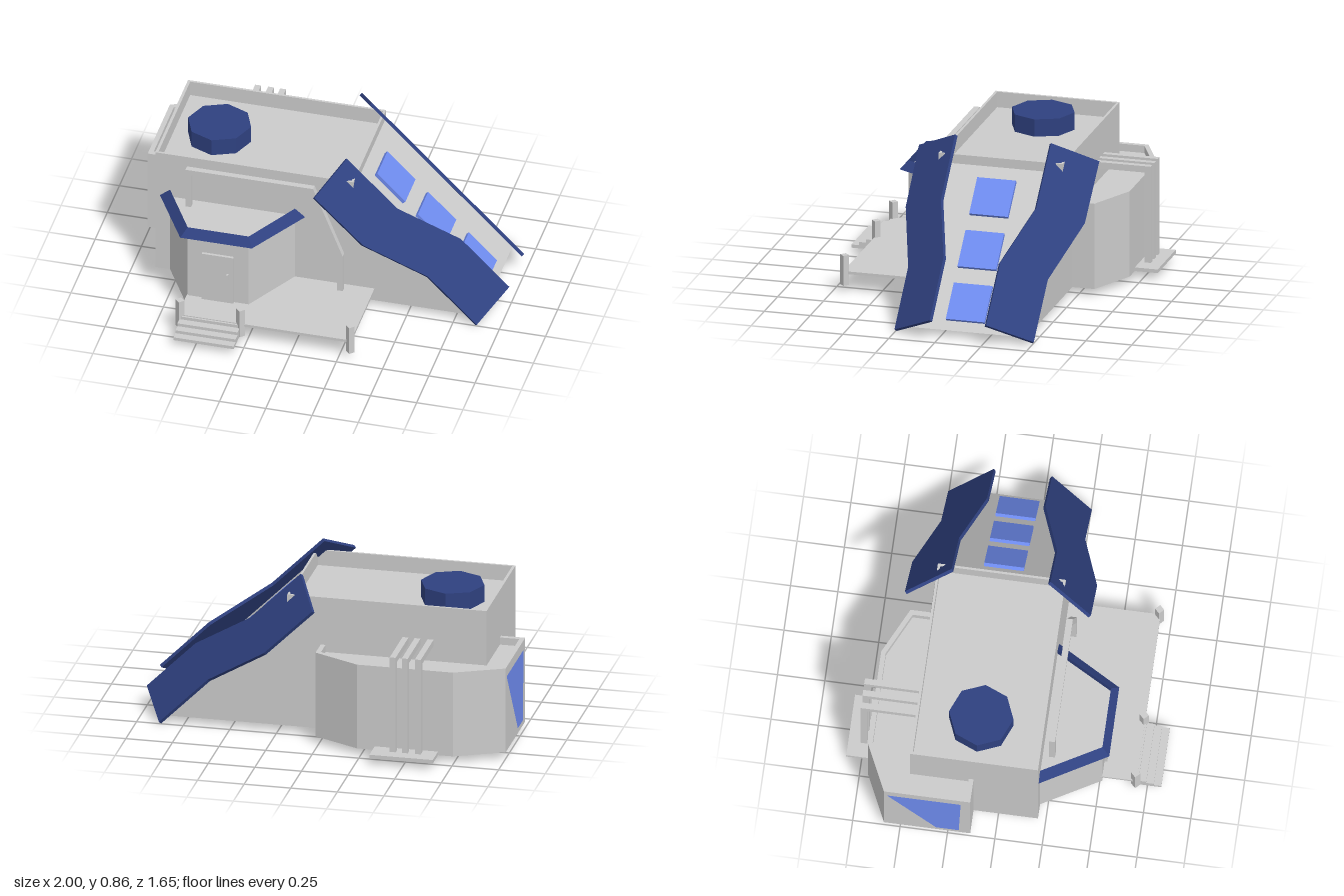
import * as THREE from 'three';

const mat = (color) => new THREE.MeshStandardMaterial({ color, flatShading: true, side: THREE.DoubleSide });
const grey = mat(0xcccccc), navy = mat(0x2f4180), glass = mat(0x6f8cf0);
const MID = -0.125; // z of the main block's centre line

export function createModel() {
  const model = new THREE.Group();

  function add(name, geometry, material = grey) {
    const mesh = new THREE.Mesh(geometry, material);
    mesh.name = name;
    model.add(mesh);
    return mesh;
  }
  // Box given by its limits
  function box(name, x0, x1, y0, y1, z0, z1, material) {
    const g = new THREE.BoxGeometry(x1 - x0, y1 - y0, z1 - z0);
    g.translate((x0 + x1) / 2, (y0 + y1) / 2, (z0 + z1) / 2);
    return add(name, g, material);
  }
  const toShape = (pts) => new THREE.Shape(pts.map(([x, y]) => new THREE.Vector2(x, y)));
  // Side profile (x, y) extruded along z
  function profile(name, pts, z0, z1, material) {
    const g = new THREE.ExtrudeGeometry(toShape(pts), { depth: z1 - z0, bevelEnabled: false });
    return add(name, g.translate(0, 0, z0), material);
  }
  // Floor plan (x, z) extruded upwards, with an optional hole
  function plan(name, pts, y0, y1, hole, material) {
    const flip = (p) => p.map(([x, z]) => [x, -z]);
    const shape = toShape(flip(pts));
    if (hole) shape.holes.push(toShape(flip(hole)));
    const g = new THREE.ExtrudeGeometry(shape, { depth: y1 - y0, bevelEnabled: false });
    return add(name, g.rotateX(-Math.PI / 2).translate(0, y0, 0), material);
  }
  const rect = (x0, x1, z0, z1) => [[x0, z0], [x1, z0], [x1, z1], [x0, z1]];

  // Main block with its sloping end and parapet
  profile('mainBlock', [[-0.87, 0.04], [0.89, 0.04], [0.2, 0.725], [0.19, 0.725], [0.19, 0.69], [-0.87, 0.69]], -0.465, 0.21);
  plan('parapet', rect(-0.87, 0.2, -0.465, 0.21), 0.69, 0.775, rect(-0.855, 0.188, -0.452, 0.197));

  // Octagonal roof hatch
  const hatch = new THREE.CylinderGeometry(0.17, 0.17, 0.095, 8);
  add('roofHatch', hatch.translate(-0.61, 0.7375, MID), navy);

  // Skylights on the slope
  for (let i = 0; i < 3; i++) {
    const pane = add('skylight', new THREE.BoxGeometry(0.215, 0.03, 0.21), glass);
    pane.position.set(0.335 + 0.22 * i, 0.598 - 0.22 * i, MID);
    pane.rotation.z = -Math.PI / 4;
  }

  // Tilted stepped fins along both edges of the slope: x, y, distance from centre line
  const finPoints = [
    [0.03, 0.75, 0.49], [0.145, 0.865, 0.26], [0.42, 0.595, 0.26], [0.735, 0.385, 0.155],
    [0.998, 0.125, 0.155], [0.88, 0.015, 0.38], [0.617, 0.275, 0.38], [0.295, 0.495, 0.49],
  ];
  const thick = 0.018;
  for (const s of [1, -1]) {
    const n = new THREE.Vector3(1, 1, s).normalize();
    const u = new THREE.Vector3(1, -1, 0).normalize();
    const v = n.clone().cross(u);
    const flat = finPoints.map(([x, y, z]) => {
      const p = new THREE.Vector3(x, y, s * z);
      return [p.dot(u), p.dot(v)];
    });
    const g = new THREE.ExtrudeGeometry(toShape(flat), { depth: thick, bevelEnabled: false });
    g.translate(0, 0, 1.273 / Math.sqrt(3) - thick);
    g.applyMatrix4(new THREE.Matrix4().makeBasis(u, v, n)).translate(0, 0, MID);
    add(s > 0 ? 'frontFin' : 'backFin', g, navy);
  }

  // Entrance bay with sloped eaves
  const bay = [[-0.79, 0.21], [-0.615, 0.515], [-0.285, 0.515], [-0.115, 0.21]];
  const eaves = [[-0.845, 0.21], [-0.645, 0.555], [-0.258, 0.555], [-0.06, 0.21]];
  plan('entranceBay', [...bay, [-0.115, 0.15], [-0.79, 0.15]], 0.04, 0.506);
  const pos = [], index = [];
  bay.forEach(([x, z], i) => {
    const [ox, oz] = eaves[i];
    pos.push(ox, 0.505, oz, x, 0.55, z, x, 0.505, z);
    if (i === 3) return;
    for (let k = 0; k < 3; k++) {
      const a = i * 3 + k, b = i * 3 + (k + 1) % 3;
      index.push(a, a + 3, b, b, a + 3, b + 3);
    }
  });
  const trim = new THREE.BufferGeometry();
  trim.setAttribute('position', new THREE.Float32BufferAttribute(pos, 3));
  trim.setIndex(index);
  const trimFlat = trim.toNonIndexed();
  trimFlat.computeVertexNormals();
  add('eaves', trimFlat, navy);

  // Door and handle
  box('door', -0.535, -0.365, 0.115, 0.405, 0.5, 0.53);
  box('doorHandle', -0.4, -0.39, 0.267, 0.3, 0.53, 0.545);

  // Deck, steps and corner posts
  box('deck', -0.62, 0.315, 0.1, 0.115, 0.2, 0.695);
  for (let i = 0; i < 4; i++) {
    box('step', -0.61, -0.285, 0.04 + 0.0175 * i, 0.0575 + 0.0175 * i, 0.67, 0.825 - 0.04 * i);
  }
  for (const x of [-0.61, -0.283, 0.31]) {
    const post = new THREE.CylinderGeometry(0.024, 0.024, 0.165, 4);
    add('deckPost', post.translate(x, 0.1225, 0.69));
  }

  // Bent pipe standing off the front wall
  profile('frontPipe', [
    [-0.69, 0.5], [-0.69, 0.74], [0, 0.74], [0.16, 0.335], [0.16, 0.04],
    [0.13, 0.04], [0.13, 0.33], [-0.022, 0.71], [-0.66, 0.71], [-0.66, 0.5],
  ], 0.243, 0.275);

  // Rear annex with a raised rim
  plan('rearAnnex', [
    [-1, -0.13], [-1, -0.585], [-0.745, -0.705], [-0.23, -0.705], [0.02, -0.585], [0.02, -0.4], [-0.8, -0.4], [-0.8, -0.13],
  ], 0.04, 0.47);
  plan('rearAnnexRim', [
    [-1, -0.13], [-1, -0.585], [-0.745, -0.705], [-0.23, -0.705], [0.02, -0.585], [0.02, -0.4], [-0.8, -0.4], [-0.8, -0.13],
  ], 0.47, 0.51, [
    [-0.974, -0.156], [-0.974, -0.57], [-0.74, -0.68], [-0.236, -0.68], [-0.006, -0.57], [-0.006, -0.43], [-0.84, -0.43], [-0.84, -0.156],
  ]);

  // Tapered window on the annex's end wall
  const pane = new THREE.ShapeGeometry(toShape([[-0.57, 0.46], [-0.31, 0.07], [-0.19, 0.07], [-0.18, 0.46]]));
  add('endWindow', pane.rotateY(-Math.PI / 2).translate(-1.002, 0, 0), glass);

  // Rear pipes running from the wall over the annex to a base slab
  for (const x of [-0.57, -0.5, -0.435]) {
    box('rearPipeTop', x - 0.016, x + 0.016, 0.555, 0.59, -0.765, -0.46);
    box('rearPipeDrop', x - 0.016, x + 0.016, 0.05, 0.555, -0.765, -0.73);
  }
  box('rearSlab', -0.665, -0.325, 0.04, 0.06, -0.83, -0.69);

  return model;
}
